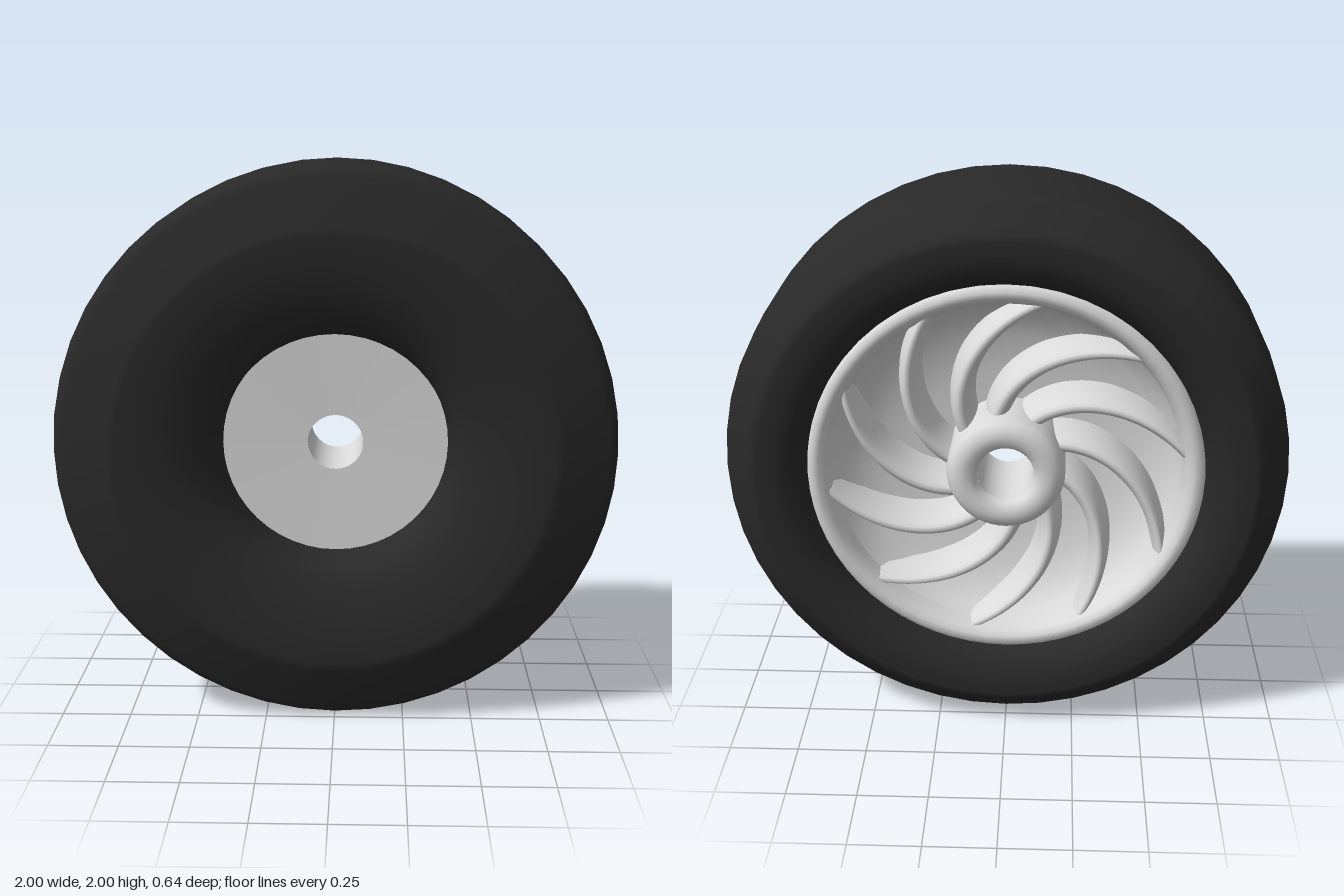
import * as THREE from 'three';

const rubber = new THREE.MeshStandardMaterial({ color: 0x292929 });
rubber.name = 'black rubber';
const metal = new THREE.MeshStandardMaterial({ color: 0xdadada });
metal.name = 'silver metal';

// Turns a profile of [radius, z] points around the wheel axis (z).
function turned(name, profile, material, segments = 64) {
  const points = profile.map(([r, z]) => new THREE.Vector2(r, z));
  const geometry = new THREE.LatheGeometry(points, segments);
  geometry.rotateX(Math.PI / 2);
  const mesh = new THREE.Mesh(geometry, material);
  mesh.name = name;
  return mesh;
}

// Curved spoke: rounded cross-sections along a spiral from hub to rim.
function spokeGeometry() {
  const rows = 20, cols = 12, positions = [], index = [];
  const centre = (t) => {
    const r = 0.17 + 0.475 * t;
    const a = 1.05 * t;
    return new THREE.Vector2(r * Math.cos(a), r * Math.sin(a));
  };
  for (let i = 0; i <= rows; i++) {
    const t = i / rows;
    const c = centre(t);
    const dir = centre(t + 0.01).sub(centre(t - 0.01)).normalize();
    const half = 0.046 - 0.012 * t * t;
    const height = 0.19 + 0.045 * t;
    for (let j = 0; j <= cols; j++) {
      const p = (j / cols) * Math.PI;
      const s = half * Math.cos(p);
      positions.push(c.x - dir.y * s, c.y + dir.x * s, -height * Math.pow(Math.max(Math.sin(p), 0), 0.7));
    }
  }
  for (let i = 0; i < rows; i++) {
    for (let j = 0; j < cols; j++) {
      const a = i * (cols + 1) + j, b = a + cols + 1;
      index.push(a, b, a + 1, b, b + 1, a + 1);
    }
  }
  const geometry = new THREE.BufferGeometry();
  geometry.setAttribute('position', new THREE.Float32BufferAttribute(positions, 3));
  geometry.setIndex(index);
  geometry.computeVertexNormals();
  return geometry;
}

export function createModel() {
  const wheel = new THREE.Group();
  wheel.name = 'wheel';

  // Tyre: rolled back wall, bevelled shoulders, deep funnel at the front
  wheel.add(turned('tyre', [
    [0.68, -0.18], [0.695, -0.235], [0.72, -0.275], [0.755, -0.305], [0.8, -0.32],
    [0.865, -0.322], [0.885, -0.315], [0.905, -0.298], [0.97, -0.232], [0.987, -0.21],
    [0.994, -0.185], [1, 0], [0.998, 0.18], [0.992, 0.215], [0.975, 0.24], [0.95, 0.255],
    [0.79, 0.318], [0.76, 0.322], [0.68, 0.317], [0.6, 0.304], [0.53, 0.284],
    [0.47, 0.255], [0.43, 0.22], [0.41, 0.18], [0.404, 0.08],
  ], rubber, 48));

  // Front disc and the open bore through the centre
  wheel.add(turned('frontDisc', [[0.41, 0.095], [0.1, 0.088]], metal));
  wheel.add(turned('bore', [[0.1, 0.088], [0.1, -0.23]], metal, 32));

  // Rounded hub on the back
  wheel.add(turned('hub', [
    [0.1, -0.23], [0.11, -0.25], [0.13, -0.262], [0.155, -0.264], [0.18, -0.258],
    [0.2, -0.24], [0.21, -0.21], [0.212, -0.02],
  ], metal, 48));

  // Hollow floor behind the spokes
  wheel.add(turned('rimFloor', [
    [0.2, -0.03], [0.33, -0.035], [0.45, -0.055], [0.54, -0.09], [0.6, -0.14], [0.635, -0.21],
  ], metal));

  // Rolled rim lip
  wheel.add(turned('rimLip', [
    [0.618, -0.17], [0.624, -0.215], [0.637, -0.243], [0.655, -0.259],
    [0.675, -0.261], [0.693, -0.25], [0.703, -0.228], [0.704, -0.18],
  ], metal));

  // Swirling spokes
  const spokes = new THREE.Group();
  spokes.name = 'spokes';
  const geometry = spokeGeometry();
  const count = 10;
  for (let i = 0; i < count; i++) {
    const spoke = new THREE.Mesh(geometry, metal);
    spoke.name = 'spoke';
    spoke.rotation.z = (i / count) * Math.PI * 2 + 0.1;
    spokes.add(spoke);
  }
  wheel.add(spokes);

  wheel.position.y = 1;
  const model = new THREE.Group();
  model.name = 'wheelModel';
  model.add(wheel);
  return model;
}
